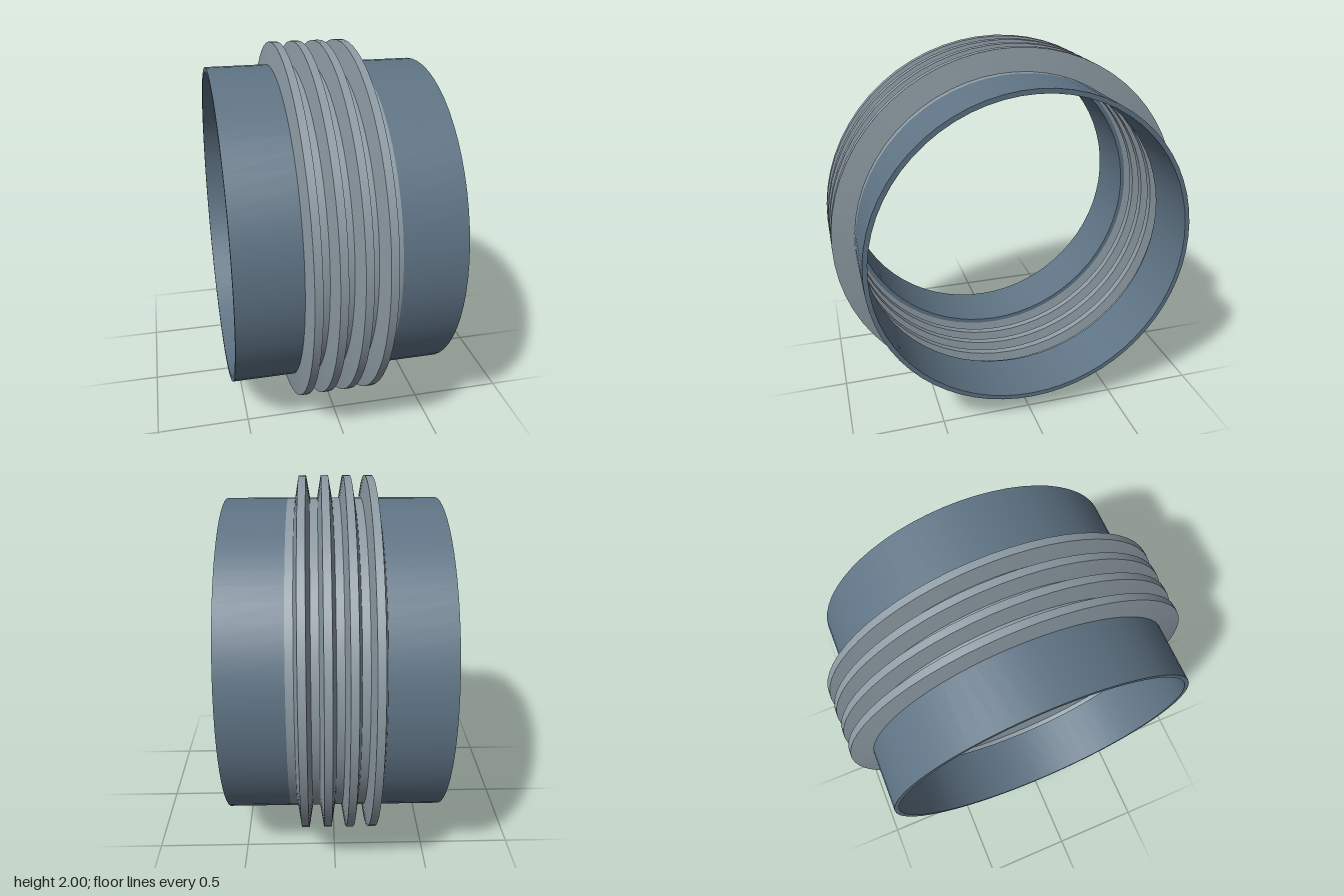
import * as THREE from 'three';
import { mergeGeometries } from 'three/addons/utils/BufferGeometryUtils.js';

const SEGMENTS = 64;

// Revolves a profile of [radius, x] points around the x axis, with sharp profile corners
function revolve(profile) {
  const strips = [];
  for (let i = 0; i < profile.length - 1; i++) {
    const pts = [profile[i], profile[i + 1]].map(([r, x]) => new THREE.Vector2(r, x));
    strips.push(new THREE.LatheGeometry(pts, SEGMENTS));
  }
  return mergeGeometries(strips).rotateZ(-Math.PI / 2);
}

export function createModel() {
  const group = new THREE.Group();
  group.name = 'bellowsExpansionJoint';
  const pipeMaterial = new THREE.MeshStandardMaterial({ color: 0x5f7485 });
  const bellowsMaterial = new THREE.MeshStandardMaterial({ color: 0x8d9aa3, side: THREE.DoubleSide });

  const outer = 0.88, inner = 0.855, crest = 1;
  const halfLength = 0.575, halfBellows = 0.24;

  const add = (name, geometry, material) => {
    const mesh = new THREE.Mesh(geometry, material);
    mesh.name = name;
    mesh.position.y = crest;
    group.add(mesh);
  };

  // Two thin-walled pipe ends
  const pipe = (a, b) => revolve([[inner, a], [outer, a], [outer, b], [inner, b], [inner, a]]);
  add('leftPipe', pipe(halfBellows, halfLength), pipeMaterial);
  add('rightPipe', pipe(-halfLength, -halfBellows), pipeMaterial);

  // Thin corrugated sleeve: four flat-topped folds, each followed by a flat valley
  const profile = [[outer, -halfBellows]];
  for (let i = 0; i < 4; i++) {
    const x = -halfBellows + i * 0.12;
    profile.push([crest, x + 0.02], [crest, x + 0.06], [outer, x + 0.08], [outer, x + 0.12]);
  }
  add('bellows', revolve(profile), bellowsMaterial);

  return group;
}
